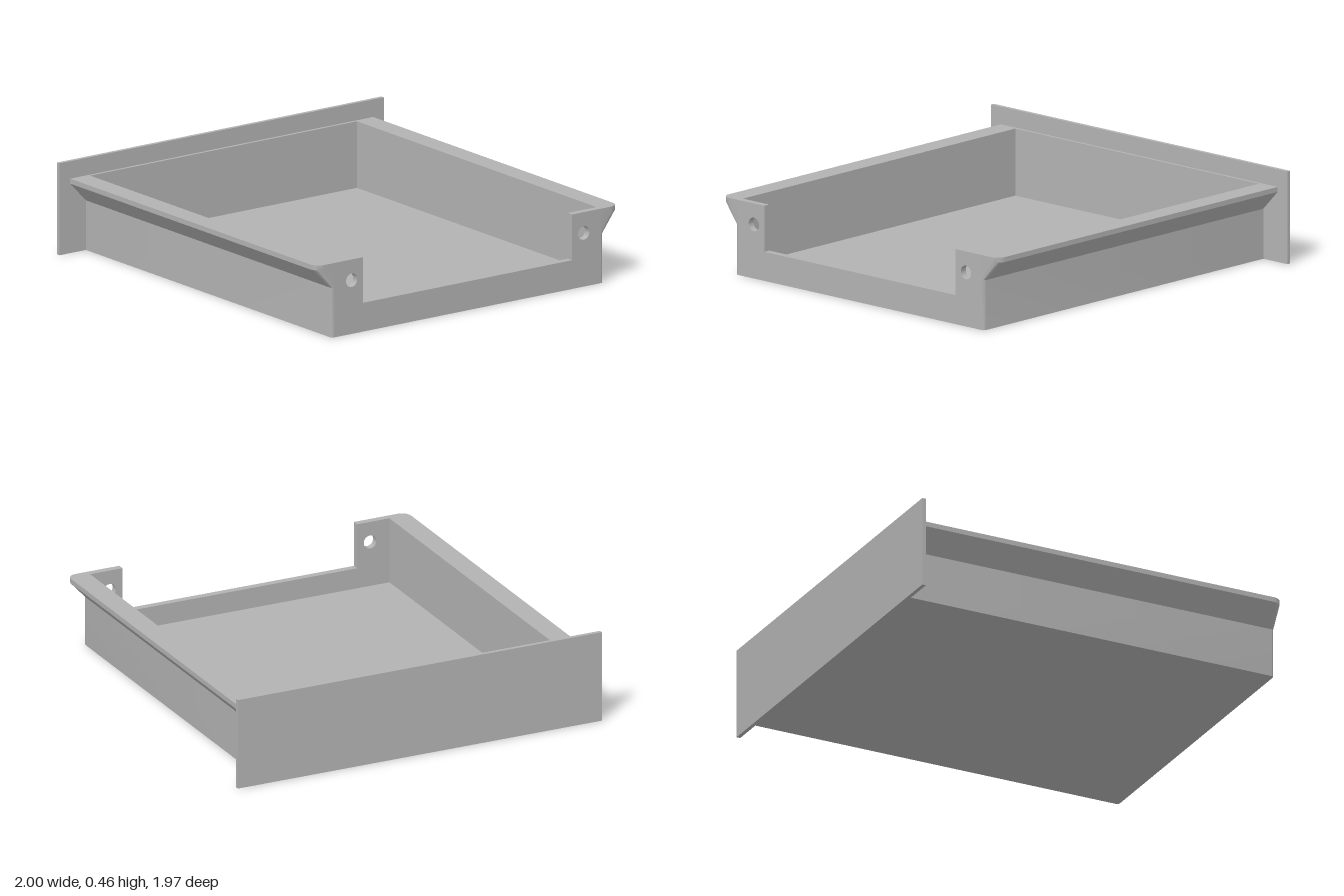
import * as THREE from 'three';
import { toCreasedNormals } from 'three/addons/utils/BufferGeometryUtils.js';

const INNER_Z = 0.81;   // half width of the tray cavity
const TOP = 0.375;      // rim height
const END_X = 0.965;    // inner face of the notched end wall

// Outer side profile: height, half width, radius of the corner at the +x end
const PROFILE = [
  [0, 0.825, 0.015],
  [0.25, 0.825, 0.015],
  [0.35, 0.92, 0.05],
  [TOP, 0.92, 0.05],
];

// Side wall with flared runner, lofted along x and rounded into the end
function sideWallGeometry(side) {
  const steps = 8;
  const sections = [];
  for (let s = -1; s <= steps; s++) {
    const a = (Math.max(s, 0) / steps) * Math.PI / 2;
    const outer = PROFILE.map(([y, z, r]) => [
      s < 0 ? -0.98 : 1 - r + r * Math.sin(a),
      y,
      z - r + r * Math.cos(a),
    ]);
    sections.push([
      [outer[0][0], 0, INNER_Z],
      ...outer,
      [outer[3][0], TOP, INNER_Z],
    ]);
  }
  const n = sections[0].length;
  const positions = sections.flat().flatMap(([x, y, z]) => [x, y, z * side]);
  const index = [];
  const tri = (a, b, c) => index.push(...(side > 0 ? [a, b, c] : [a, c, b]));
  for (let s = 0; s < sections.length - 1; s++) {
    for (let k = 0; k < n; k++) {
      const a = s * n + k, b = s * n + (k + 1) % n;
      tri(a, a + n, b + n);
      tri(a, b + n, b);
    }
  }
  // Cap at the +x end
  const last = (sections.length - 1) * n;
  for (let k = 1; k < n - 2; k++) tri(last + n - 1, last + k + 1, last + k);

  const geometry = new THREE.BufferGeometry();
  geometry.setAttribute('position', new THREE.Float32BufferAttribute(positions, 3));
  geometry.setIndex(index);
  return toCreasedNormals(geometry, 0.5);
}

// End wall with a wide notch and two round holes
function endWallGeometry() {
  const shape = new THREE.Shape([
    [-INNER_Z, 0], [INNER_Z, 0], [INNER_Z, TOP], [0.635, TOP],
    [0.635, 0.145], [-0.635, 0.145], [-0.635, TOP], [-INNER_Z, TOP],
  ].map(([x, y]) => new THREE.Vector2(x, y)));
  for (const side of [-1, 1]) {
    shape.holes.push(new THREE.Path().absarc(side * 0.705, 0.27, 0.034, 0, Math.PI * 2, true));
  }
  const geometry = new THREE.ExtrudeGeometry(shape, {
    depth: 1 - END_X, bevelEnabled: false, curveSegments: 24,
  });
  geometry.rotateY(Math.PI / 2).translate(END_X, 0, 0);
  return toCreasedNormals(geometry, 0.5);
}

// Box given by its limits on each axis
function boxGeometry(x0, x1, y0, y1, halfZ) {
  return new THREE.BoxGeometry(x1 - x0, y1 - y0, halfZ * 2)
    .translate((x0 + x1) / 2, (y0 + y1) / 2, 0);
}

export function createModel() {
  const group = new THREE.Group();
  group.name = 'drawer';
  const grey = new THREE.MeshStandardMaterial({ color: 0xb2b2b2 });
  grey.name = 'grey';

  const add = (name, geometry) => {
    const mesh = new THREE.Mesh(geometry, grey);
    mesh.name = name;
    group.add(mesh);
  };

  add('facePlate', boxGeometry(-1, -0.98, 0, 0.463, 0.985));
  add('plateWall', boxGeometry(-0.98, -0.965, 0, TOP, INNER_Z));
  add('floor', boxGeometry(-0.965, END_X, 0, 0.04, INNER_Z));
  add('notchedEndWall', endWallGeometry());
  add('leftSideWall', sideWallGeometry(1));
  add('rightSideWall', sideWallGeometry(-1));
  return group;
}
